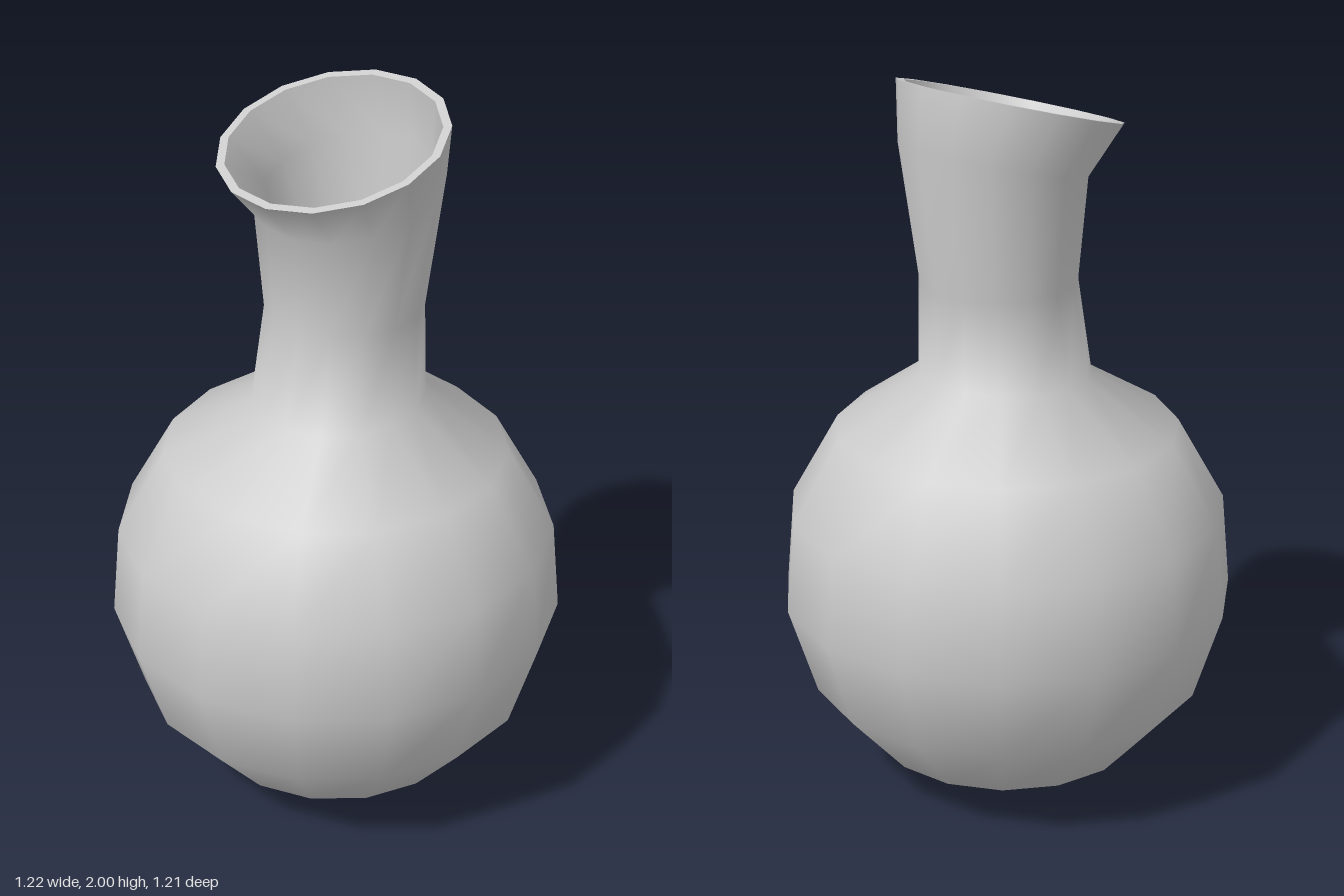
import * as THREE from 'three';
import { mergeVertices } from 'three/addons/utils/BufferGeometryUtils.js';

const SIDES = 15;

// Each ring: [centre x, centre y, radius x, radius z, slope of the ring along x]
const OUTER = [
  [0, 0.005, 0, 0, 0],
  [0, 0.125, 0.365, 0.365, 0],
  [0, 0.315, 0.535, 0.535, 0],
  [0, 0.56, 0.612, 0.612, 0],
  [0, 0.81, 0.59, 0.59, 0],
  [0, 1.037, 0.462, 0.462, 0],
  [0.009, 1.192, 0.232, 0.232, 0.05],
  [0.033, 1.45, 0.208, 0.212, 0],
  [0.052, 1.775, 0.243, 0.25, 0.27],
  [-0.012, 1.918, 0.289, 0.302, 0.287],
];
const WALL = 0.022;

// Inner shell: the same rings drawn in by the wall thickness
const INNER = OUTER.map(([cx, cy, rx, rz, slope], i) => {
  if (i === 0) return [cx, cy + WALL, 0, 0, 0];
  const lift = i < 3 ? 0.012 : i === 5 || i === 6 ? -0.012 : 0;
  return [cx, cy + lift, rx - WALL, rz - WALL, slope];
});

// Skin a list of rings; inward flips the faces
function skin(rings, inward = false) {
  const positions = [];
  const index = [];
  for (const [cx, cy, rx, rz, slope] of rings) {
    for (let j = 0; j < SIDES; j++) {
      const a = (j / SIDES) * Math.PI * 2;
      const dx = rx * Math.sin(a);
      positions.push(cx + dx, cy + slope * dx, -rz * Math.cos(a));
    }
  }
  for (let i = 0; i < rings.length - 1; i++) {
    for (let j = 0; j < SIDES; j++) {
      const a = i * SIDES + j;
      const b = i * SIDES + ((j + 1) % SIDES);
      const c = a + SIDES;
      const d = b + SIDES;
      if (inward) index.push(a, b, c, b, d, c);
      else index.push(a, c, b, b, c, d);
    }
  }
  let geometry = new THREE.BufferGeometry();
  geometry.setAttribute('position', new THREE.Float32BufferAttribute(positions, 3));
  geometry.setIndex(index);
  geometry = mergeVertices(geometry, 1e-4); // welds the bottom pole
  geometry.computeVertexNormals();
  return geometry;
}

export function createModel() {
  const group = new THREE.Group();
  group.name = 'flask';
  const material = new THREE.MeshStandardMaterial({ color: 0xcccccc });
  const add = (name, geometry) => {
    const mesh = new THREE.Mesh(geometry, material);
    mesh.name = name;
    group.add(mesh);
  };

  // Round body flowing into the neck and slanted mouth
  add('outerWall', skin(OUTER));
  add('innerWall', skin(INNER, true));
  // Flat lip joining the two walls, kept sharp
  add('lip', skin([OUTER.at(-1), INNER.at(-1)]));
  return group;
}
